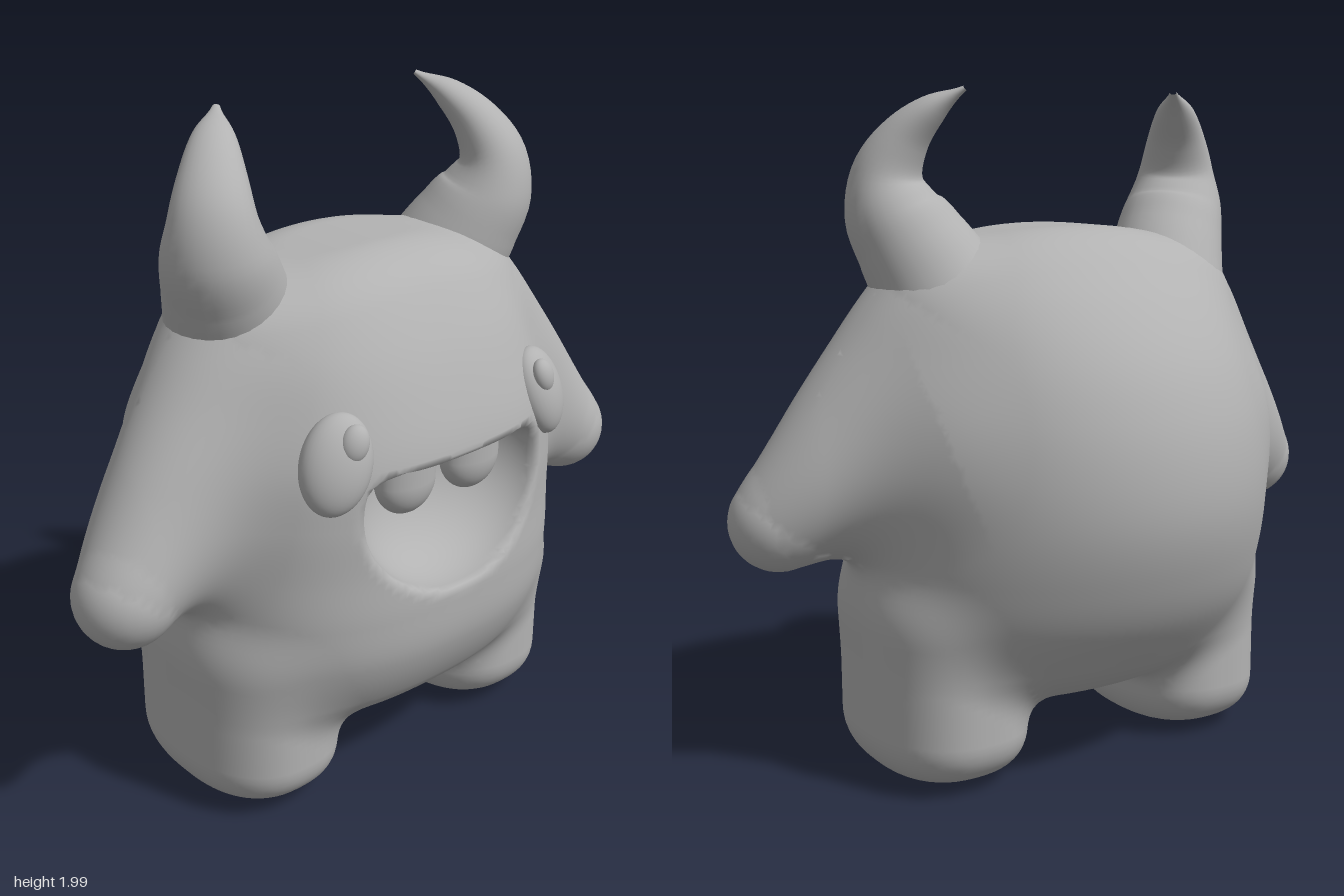
import * as THREE from 'three';
import { mergeVertices } from 'three/addons/utils/BufferGeometryUtils.js';

// Smooth interpolation through evenly spaced values, t in 0..1
function spline(v, t) {
  const n = v.length - 1;
  const s = Math.min(Math.max(t, 0), 1) * n;
  const i = Math.min(Math.floor(s), n - 1), f = s - i;
  const at = (k) => v[Math.min(Math.max(k, 0), n)];
  const [a, b, c, d] = [at(i - 1), at(i), at(i + 1), at(i + 2)];
  return b + 0.5 * f * (c - a + f * (2 * a - 5 * b + 4 * c - d + f * (3 * (b - c) + d - a)));
}

// Rounded union and intersection of distance fields
const smin = (a, b, k) => {
  const h = Math.max(k - Math.abs(a - b), 0) / k;
  return Math.min(a, b) - h * h * k * 0.25;
};
const smax = (a, b, k) => -smin(-a, -b, k);

// Tapered limb from a to b, swelling in the middle
function limb(x, y, z, a, b, ra, rb, swell) {
  const d = [b[0] - a[0], b[1] - a[1], b[2] - a[2]];
  const dot = (x - a[0]) * d[0] + (y - a[1]) * d[1] + (z - a[2]) * d[2];
  const t = Math.min(Math.max(dot / (d[0] ** 2 + d[1] ** 2 + d[2] ** 2), 0), 1);
  const r = ra + t * (rb - ra) + 4 * swell * t * (1 - t);
  return Math.hypot(x - a[0] - t * d[0], y - a[1] - t * d[1], z - a[2] - t * d[2]) - r;
}

const superRadius = (u, v, p) => (Math.abs(u) ** p + Math.abs(v) ** p) ** (1 / p);

// Torso profiles from y = 0.2 to y = 1.7
const WIDTH = [0.52, 0.59, 0.625, 0.635, 0.635, 0.63, 0.61, 0.57, 0.52, 0.43, 0.29];
const FRONT = [0.38, 0.505, 0.575, 0.59, 0.585, 0.585, 0.575, 0.525, 0.45, 0.34, 0.18];
const BACK = [0.22, 0.36, 0.48, 0.55, 0.588, 0.588, 0.555, 0.485, 0.365, 0.20, 0.04];

const SHOULDER = [0.44, 1.35, 0.06], HAND = [0.862, 0.79, 0.165], RIB = [0.42, 0.98, -0.03];

function bodyField(px, y, z) {
  const x = Math.abs(px);
  // torso
  const t = (y - 0.2) / 1.5, w = spline(WIDTH, t), zc = 0.05;
  const front = z > zc;
  const depth = front ? spline(FRONT, t) - zc : spline(BACK, t) + zc;
  let d = (superRadius(x / w, (z - zc) / depth, front ? 2.45 : 2) - 1) * Math.min(w, depth);
  d = smax(d, y - 1.603 + 0.3 * x * x, 0.1);
  d = smax(d, 0.22 - y, 0.1);
  // arms
  const arm = smin(
    limb(x, y, z, SHOULDER, HAND, 0.15, 0.12, 0.035),
    limb(x, y, z, RIB, HAND, 0.23, 0.09, 0), 0.15);
  d = smin(d, arm, 0.18);
  // legs with domed soles
  const q = superRadius((x - 0.428) / 0.238, (z - 0.075) / 0.33, 2.4);
  const leg = smax(smax((q - 1) * 0.25, 0.05 * q * q - y, 0.11), y - 0.6, 0.15);
  d = smin(d, leg, 0.08);
  // mouth hollow
  const m = Math.hypot(x / 0.335, (y - 0.97) / 0.28, (z - 0.57) / 0.24);
  const mouth = smax((m - 1) * 0.25, y - 1.08, 0.06);
  return smax(d, -mouth, 0.025);
}

function gradient(f, x, y, z) {
  const e = 0.002;
  return [f(x + e, y, z) - f(x - e, y, z), f(x, y + e, z) - f(x, y - e, z), f(x, y, z + e) - f(x, y, z - e)]
    .map((g) => g / (2 * e));
}

// Skin a distance field: one vertex per crossed grid cell, one quad per crossed edge
function skin(f, min, max, cell) {
  const n = min.map((m, i) => Math.ceil((max[i] - m) / cell) + 1);
  const step = [1, n[0], n[0] * n[1]];
  const values = new Float32Array(n[0] * n[1] * n[2]);
  const each = (from, fn) => {
    for (let k = from; k < n[2] - 1; k++)
      for (let j = from; j < n[1] - 1; j++)
        for (let i = from; i < n[0] - 1; i++) fn(i, j, k, i + j * step[1] + k * step[2]);
  };
  values.fill(1);
  each(0, (i, j, k, c) => {
    values[c] = f(min[0] + i * cell, min[1] + j * cell, min[2] + k * cell);
  });

  const ids = new Int32Array(values.length).fill(-1);
  const positions = [], normals = [], index = [];
  each(0, (i, j, k, c) => {
    const sum = [0, 0, 0];
    let count = 0;
    for (let corner = 0; corner < 8; corner++) {
      const o = [corner & 1, (corner >> 1) & 1, corner >> 2];
      const g = c + o[0] + o[1] * step[1] + o[2] * step[2];
      for (let a = 0; a < 3; a++) {
        if (o[a]) continue;
        const v0 = values[g], v1 = values[g + step[a]];
        if ((v0 < 0) === (v1 < 0)) continue;
        for (let b = 0; b < 3; b++) sum[b] += o[b] + (a === b ? v0 / (v0 - v1) : 0);
        count++;
      }
    }
    if (!count) return;
    ids[c] = positions.length / 3;
    let p = [i, j, k].map((s, a) => min[a] + (s + sum[a] / count) * cell);
    // settle the vertex onto the surface
    for (let r = 0; r < 3; r++) {
      const g = gradient(f, ...p);
      const s = f(...p) / Math.max(g[0] ** 2 + g[1] ** 2 + g[2] ** 2, 0.1);
      p = p.map((v, a) => v - Math.min(Math.max(s * g[a], -cell / 3), cell / 3));
    }
    const g = gradient(f, ...p), len = Math.hypot(...g) || 1;
    positions.push(...p);
    normals.push(g[0] / len, g[1] / len, g[2] / len);
  });
  each(1, (i, j, k, c) => {
    for (let a = 0; a < 3; a++) {
      const inside = values[c] < 0;
      if (inside === values[c + step[a]] < 0) continue;
      const u = step[(a + 1) % 3], v = step[(a + 2) % 3];
      const q = [c - u - v, c - v, c, c - u].map((s) => ids[s]);
      if (!inside) q.reverse();
      index.push(q[0], q[1], q[2], q[0], q[2], q[3]);
    }
  });
  const geometry = new THREE.BufferGeometry();
  geometry.setAttribute('position', new THREE.Float32BufferAttribute(positions, 3));
  geometry.setAttribute('normal', new THREE.Float32BufferAttribute(normals, 3));
  geometry.setIndex(index);
  return geometry;
}

// Curved horn: a tube whose rings shrink and flatten toward the tip
function hornGeometry(side) {
  const path = new THREE.CatmullRomCurve3([
    [0.385, 1.38, 0.03], [0.42, 1.47, 0.065], [0.462, 1.56, 0.1], [0.503, 1.65, 0.13],
    [0.513, 1.75, 0.135], [0.48, 1.85, 0.095], [0.425, 1.93, 0.03], [0.36, 1.988, -0.043],
  ].map(([x, y, z]) => new THREE.Vector3(side * x, y, z)));
  const radii = [0.19, 0.178, 0.16, 0.137, 0.102, 0.072, 0.043, 0.007];
  const rings = 40, sides = 28;
  const tube = new THREE.TubeGeometry(path, rings, 1, sides);
  const pos = tube.attributes.position, p = new THREE.Vector3();
  const across = new THREE.Vector3(side * 0.73, 0, -0.68);
  for (let i = 0; i <= rings; i++) {
    const centre = path.getPointAt(i / rings);
    const t = path.getUtoTmapping(i / rings), r = spline(radii, t);
    for (let j = 0; j <= sides; j++) {
      const k = i * (sides + 1) + j;
      p.fromBufferAttribute(pos, k).sub(centre).multiplyScalar(r);
      p.addScaledVector(across, p.dot(across) * 0.5 * t * t).add(centre);
      pos.setXYZ(k, p.x, p.y, p.z);
    }
  }
  tube.deleteAttribute('uv');
  tube.deleteAttribute('normal');
  const geometry = mergeVertices(tube, 1e-5);
  geometry.computeVertexNormals();
  return geometry;
}

export function createModel() {
  const model = new THREE.Group();
  model.name = 'hornedMonster';
  const clay = new THREE.MeshStandardMaterial({ color: 0xb2b2b2 });
  clay.name = 'greyClay';
  const add = (name, geometry) => {
    const mesh = new THREE.Mesh(geometry, clay);
    mesh.name = name;
    model.add(mesh);
    return mesh;
  };

  add('body', skin(bodyField, [-1.089, -0.07, -0.68], [1.089, 1.7, 0.7], 0.022));

  const ball = new THREE.SphereGeometry(1, 32, 24);
  for (const [side, label] of [[1, 'left'], [-1, 'right']]) {
    add(label + 'Horn', hornGeometry(side));

    // eye with a raised glint
    const eye = add(label + 'Eye', ball);
    eye.position.set(side * 0.39, 1.14, 0.475);
    eye.scale.set(0.1, 0.14, 0.062);
    eye.rotation.set(-0.3, side * 0.4, side * 0.38);
    const glint = add(label + 'EyeGlint', ball);
    glint.position.set(side * 0.36, 1.205, 0.515);
    glint.scale.set(0.04, 0.052, 0.03);
    glint.rotation.set(-0.22, side * 0.35, side * 0.38);

    // tooth hanging from the upper lip
    const tooth = add(label + 'Tooth', new THREE.CapsuleGeometry(0.1, 0.1, 10, 28));
    tooth.position.set(side * 0.125, 1.06, 0.46);
    tooth.scale.z = 0.65;
  }
  return model;
}
